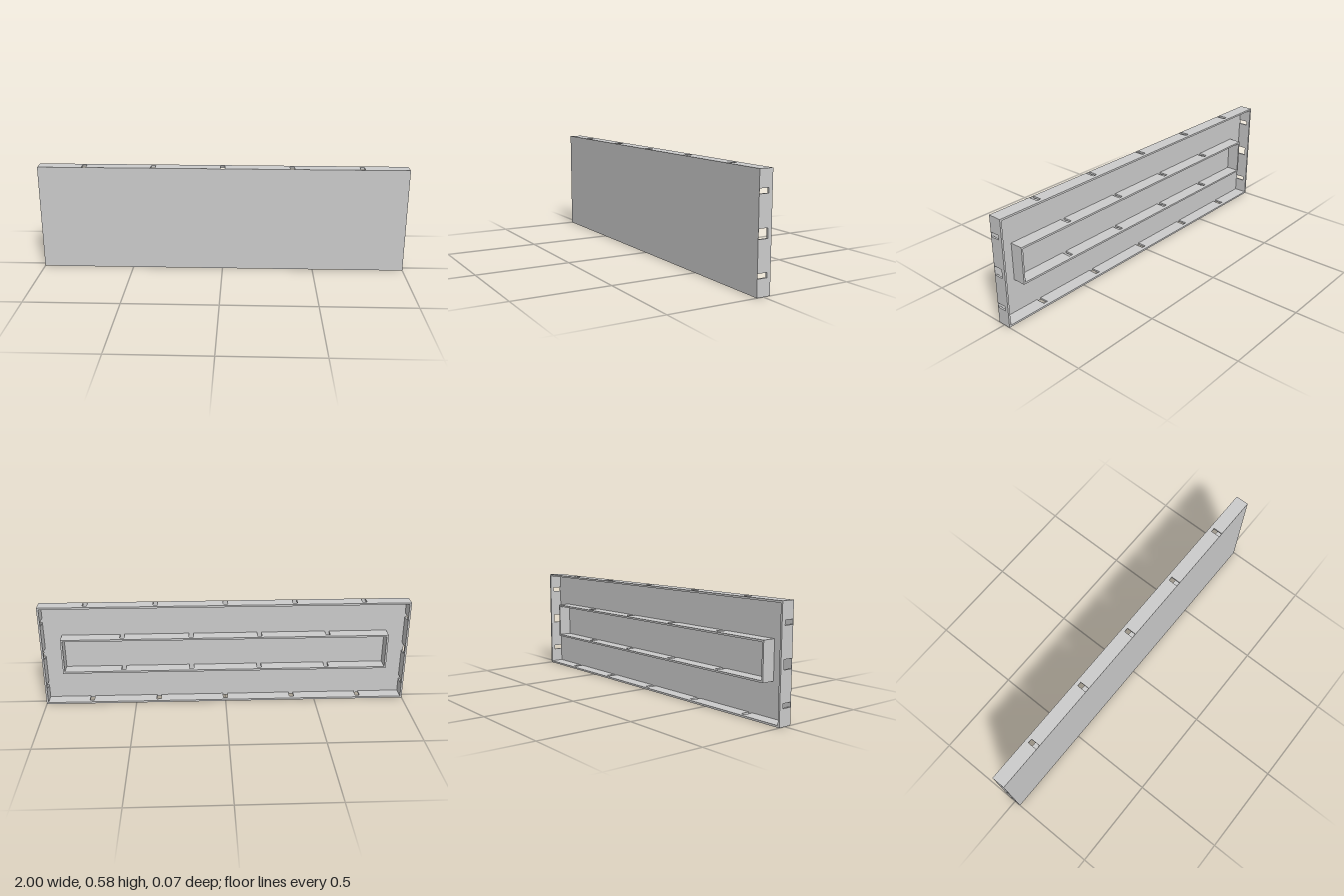
import * as THREE from 'three';

const WIDTH = 2, HEIGHT = 0.577, HALF_DEPTH = 0.0366;
const SKIN = 0.002;                    // front plate thickness
const WALL = 0.01;                     // rib thickness
const FRONT = HALF_DEPTH - SKIN;       // where ribs meet the plate
const SLOT_BACK = -0.0165;             // slots run from here to the plate

const material = new THREE.MeshStandardMaterial({ color: 0xcccccc, flatShading: true });

// Rib running along x, with slots cut into the edge that meets the plate
function ribGeometry(length, slots) {
  const shape = new THREE.Shape();
  shape.moveTo(-length / 2, FRONT);
  shape.lineTo(-length / 2, -HALF_DEPTH);
  shape.lineTo(length / 2, -HALF_DEPTH);
  shape.lineTo(length / 2, FRONT);
  for (const [at, size] of [...slots].sort((a, b) => b[0] - a[0])) {
    shape.lineTo(at + size / 2, FRONT);
    shape.lineTo(at + size / 2, SLOT_BACK);
    shape.lineTo(at - size / 2, SLOT_BACK);
    shape.lineTo(at - size / 2, FRONT);
  }
  shape.closePath();
  const geometry = new THREE.ExtrudeGeometry(shape, { depth: WALL, bevelEnabled: false });
  return geometry.translate(0, 0, -WALL / 2).rotateX(Math.PI / 2);
}

// Rectangular frame of four ribs centred on the panel
function frame(name, width, height, longSlots, endSlots) {
  const group = new THREE.Group();
  group.name = name;
  const long = ribGeometry(width, longSlots);
  const end = ribGeometry(height - 2 * WALL, endSlots).rotateZ(Math.PI / 2);
  for (const side of [1, -1]) {
    const longRib = new THREE.Mesh(long, material);
    longRib.name = side > 0 ? 'topRib' : 'bottomRib';
    longRib.position.y = side * (height - WALL) / 2;
    const endRib = new THREE.Mesh(end, material);
    endRib.name = side > 0 ? 'leftRib' : 'rightRib';
    endRib.position.x = side * (width - WALL) / 2;
    group.add(longRib, endRib);
  }
  group.position.y = HEIGHT / 2;
  return group;
}

export function createModel() {
  const model = new THREE.Group();
  model.name = 'panel';

  // Thin front plate
  const plate = new THREE.Mesh(new THREE.BoxGeometry(WIDTH, HEIGHT, SKIN), material);
  plate.name = 'frontPlate';
  plate.position.set(0, HEIGHT / 2, HALF_DEPTH - SKIN / 2);
  model.add(plate);

  // Outer rim, and inner stiffener with slots staggered by half a step
  const small = 0.024;
  const outerSlots = [-2, -1, 0, 1, 2].map(i => [i * 0.375, small]);
  const innerSlots = [-1.5, -0.5, 0.5, 1.5].map(i => [i * 0.375, small]);
  const endSlots = [[-0.19, small], [0, 0.048], [0.19, small]];
  model.add(frame('outerRim', WIDTH, HEIGHT, outerSlots, endSlots));
  model.add(frame('innerStiffener', 1.785, 0.2, innerSlots, []));
  return model;
}
